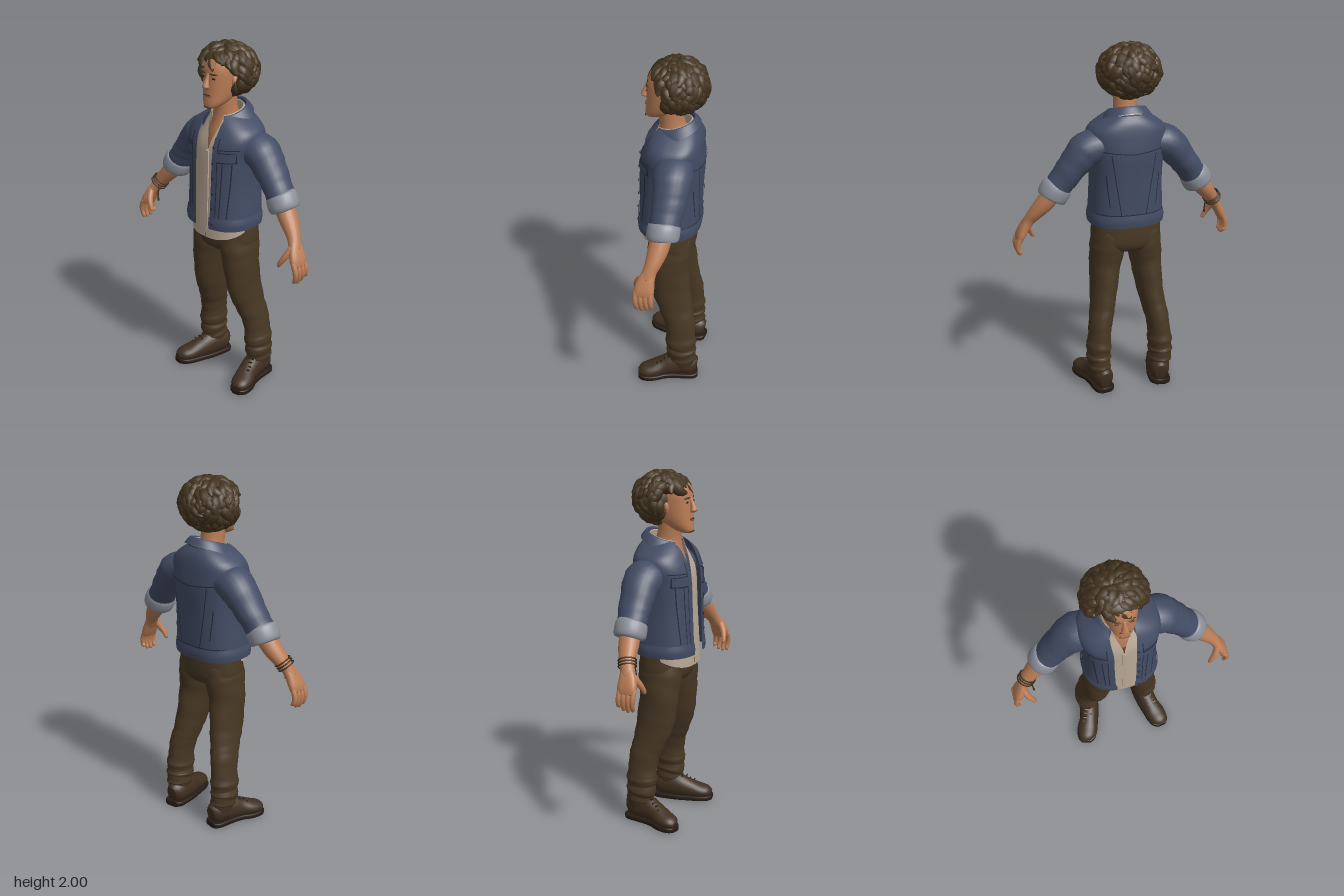
import * as THREE from 'three';

const paint = (name, color, side = THREE.FrontSide) => {
  const m = new THREE.MeshStandardMaterial({ color, side });
  m.name = name;
  return m;
};
const Y = new THREE.Vector3(0, 1, 0), Z = new THREE.Vector3(0, 0, 1);

// Smooth cubic through b and c
const cubic = (a, b, c, d, t) => {
  const k3 = 3 * (b - c) + d - a, k2 = 2 * a - 5 * b + 4 * c - d;
  return b + 0.5 * t * (c - a + t * (k2 + t * k3));
};

// Smoothly refine cross-sections [x, y, z, halfWidth, halfDepth, tilt, frontGap]
function sample(secs, per) {
  const s = secs.map(q => [...q, 0, 0].slice(0, 7)), out = [];
  for (let i = 0; i < s.length - 1; i++) {
    const a = s[Math.max(i - 1, 0)], b = s[i], c = s[i + 1], d = s[Math.min(i + 2, s.length - 1)];
    for (let k = 0; k < per; k++) out.push(b.map((v, j) => cubic(a[j], v, c[j], d[j], k / per)));
  }
  out.push(s[s.length - 1]);
  return out;
}

// Skin a surface over superellipse rings; flat keeps rings level, a front gap leaves it open
function loft(secs, { seg = 20, n = 2, per = 4, hint = Z, flat = false, fold = 0, floor = -1 } = {}) {
  const S = sample(secs, per), open = S.some(q => q[6] > 0), cols = open ? seg + 1 : seg;
  const pos = [], idx = [], p = S.map(q => new THREE.Vector3(q[0], q[1], q[2]));
  const pw = v => Math.sign(v) * Math.pow(Math.abs(v), 2 / n);
  S.forEach((q, i) => {
    const T = flat ? Y.clone() : p[Math.min(i + 1, p.length - 1)].clone().sub(p[Math.max(i - 1, 0)]).normalize();
    const v = hint.clone().addScaledVector(T, -hint.dot(T)).normalize(), u = T.clone().cross(v);
    const g = open ? Math.asin(Math.pow(Math.min(1, Math.max(0, q[6]) / q[3]), n / 2)) : 0;
    for (let j = 0; j < cols; j++) {
      const th = Math.PI / 2 + g + (2 * Math.PI - 2 * g) * j / seg;
      const w = 1 + fold * Math.sin(i * 1.9 + 2 * Math.sin(th + i * 0.4));
      const e = p[i].clone().addScaledVector(u, q[3] * w * pw(Math.cos(th))).addScaledVector(v, q[4] * w * pw(Math.sin(th)));
      pos.push(e.x, Math.max(floor, e.y + q[5] * (e.z - q[2])), e.z);
    }
  });
  for (let i = 0; i < S.length - 1; i++) for (let j = 0; j < seg; j++) {
    const a = i * cols + j, b = i * cols + (j + 1) % cols;
    idx.push(a, a + cols, b, b, a + cols, b + cols);
  }
  if (!open) for (const [row, flip] of [[0, false], [S.length - 1, true]]) {
    const c = pos.length / 3;
    pos.push(p[row].x, Math.max(floor, p[row].y), p[row].z);
    for (let j = 0; j < seg; j++) {
      const a = row * cols + j, b = row * cols + (j + 1) % cols;
      idx.push(c, ...(flip ? [b, a] : [a, b]));
    }
  }
  // Caps wind opposite to each other so both face outward
  const geo = new THREE.BufferGeometry();
  geo.setAttribute('position', new THREE.Float32BufferAttribute(pos, 3));
  geo.setIndex(idx);
  geo.computeVertexNormals();
  return geo;
}

// Depth of a level-ringed body at (x, y); side 1 is the front, -1 the back
function depth(rows, n, x, y, side) {
  let i = 0;
  while (i < rows.length - 2 && rows[i + 1][1] < y) i++;
  const A = rows[i], B = rows[i + 1], t = THREE.MathUtils.clamp((y - A[1]) / (B[1] - A[1]), 0, 1);
  const [, , z, a, b] = A.map((v, k) => v + (B[k] - v) * t);
  return z + side * b * Math.pow(Math.max(0, 1 - Math.pow(Math.abs(x) / a, n)), 1 / n);
}

export function createModel() {
  const model = new THREE.Group();
  const D = THREE.DoubleSide;
  const skin = paint('skin', 0xb97c55), hairMat = paint('hair brown', 0x44341f), denim = paint('denim', 0x434c64, D);
  const seamMat = paint('dark seam', 0x252a3a, D), cuffMat = paint('cuff grey', 0x8b8f99), linen = paint('linen', 0xb9a896, D);
  const cloth = paint('trouser brown', 0x483824), leather = paint('boot leather', 0x3f2f20), dark = paint('dark brown', 0x251b14), lip = paint('lip', 0x8d533c);
  const add = (name, geo, mat, parent = model) => {
    const m = new THREE.Mesh(geo, mat);
    m.name = name;
    parent.add(m);
    return m;
  };
  const ball = (name, mat, at, r) => {
    const m = add(name, new THREE.SphereGeometry(1, 20, 14), mat);
    m.position.set(...at);
    m.scale.set(...r);
    return m;
  };

  // Jacket body, open at the front
  const jacket = [
    [0, 1.0, .016, .208, .172, 0, .055], [0, 1.1, .012, .205, .172, 0, .058], [0, 1.25, .007, .2, .172, 0, .06],
    [0, 1.4, 0, .208, .174, 0, .06], [0, 1.48, -.003, .222, .166, 0, .062], [0, 1.54, -.012, .212, .15, 0, .068],
    [0, 1.585, -.018, .158, .132, 0, .07], [0, 1.62, -.022, .1, .105, 0, .068]];
  const rows = sample(jacket, 4);
  add('jacketBody', loft(jacket, { seg: 48, n: 2.5, flat: true }), denim);
  add('jacketWaistband', loft([[0, .995, .016, .212, .176, 0, .05], [0, 1.03, .015, .215, .179, 0, .05], [0, 1.065, .014, .208, .175, 0, .05]], { seg: 48, n: 2.5, flat: true }), denim);
  add('jacketCollar', loft([[0, 1.58, -.02, .1, .1, -.3, .06], [0, 1.635, -.015, .092, .095, -.3, .05],
    [0, 1.638, -.015, .105, .108, -.32, .055], [0, 1.585, -.012, .142, .137, -.4, .075]], { seg: 36, flat: true, per: 3 }), denim);

  // Plates that hug the jacket: corners run bottom left, bottom right, top right, top left
  const patch = (name, c, mat, side = 1, lift = .005) => {
    const geo = new THREE.PlaneGeometry(1, 1, 6, 10), P = geo.attributes.position;
    for (let i = 0; i < P.count; i++) {
      const u = P.getX(i) + .5, v = P.getY(i) + .5;
      const mix = k => (c[0][k] * (1 - u) + c[1][k] * u) * (1 - v) + (c[3][k] * (1 - u) + c[2][k] * u) * v;
      P.setXYZ(i, mix(0), mix(1), depth(rows, 2.5, mix(0), mix(1), side) + side * lift);
    }
    geo.computeVertexNormals();
    add(name, geo, mat);
  };
  const line = (name, x0, y0, x1, y1, side = 1) => {
    const l = Math.hypot(x1 - x0, y1 - y0) / .0025, dx = (y1 - y0) / l, dy = (x0 - x1) / l;
    patch(name, [[x0 - dx, y0 - dy], [x0 + dx, y0 + dy], [x1 + dx, y1 + dy], [x1 - dx, y1 - dy]], seamMat, side);
  };
  for (const s of [1, -1]) {
    patch('buttonPlacket', [[s * .056, 1.01], [s * .088, 1.01], [s * .095, 1.52], [s * .066, 1.52]], denim);
    line('placketSeam', s * .09, 1.07, s * .097, 1.52);
    patch('pocketFlapShadow', [[s * .092, 1.385], [s * .185, 1.39], [s * .186, 1.448], [s * .09, 1.448]], seamMat, 1, .004);
    patch('pocketFlap', [[s * .095, 1.395], [s * .182, 1.397], [s * .185, 1.445], [s * .093, 1.445]], denim, 1, .008);
    line('frontSeam', s * .112, 1.07, s * .125, 1.385);
    line('outerFrontSeam', s * .15, 1.07, s * .168, 1.385);
    line('frontYokeSeam', s * .1, 1.46, s * .2, 1.465);
    line('backYokeSeam', 0, 1.42, s * .2, 1.44, -1);
    line('backSeam', s * .07, 1.07, s * .125, 1.42, -1);
    line('backFold', s * .13, 1.12, s * .15, 1.3, -1);
  }
  line('waistbandSeam', -.19, 1.07, .19, 1.07, -1);
  for (let i = 0; i < 6; i++) {
    const y = 1.03 + i * .088;
    ball('jacketButton', seamMat, [.072, y, depth(rows, 2.5, .072, y, 1) + .007], [.008, .008, .004]);
  }

  // Shirt with a shaped hem and an open neck
  add('shirt', loft([[0, .985, .012, .19, .155, -.4, .001], [0, 1.06, .01, .188, .152, -.2, .001], [0, 1.25, 0, .182, .15, 0, .001],
    [0, 1.4, -.004, .18, .148, 0, .002], [0, 1.47, -.006, .17, .138, 0, .008], [0, 1.54, -.012, .13, .118, 0, .032], [0, 1.6, -.015, .092, .095, 0, .048]], { seg: 40, n: 2.4, flat: true }), linen);
  add('shirtCollar', loft([[0, 1.58, -.01, .09, .1, -.2, .045], [0, 1.632, -.008, .08, .088, -.25, .045],
    [0, 1.632, -.008, .087, .096, -.25, .048], [0, 1.58, -.004, .1, .118, -.4, .042]], { seg: 30, flat: true, per: 3 }), linen);
  const placket = add('shirtPlacket', new THREE.BoxGeometry(.026, .46, .008), linen);
  placket.position.set(0, 1.2, .156);
  placket.rotation.x = -.035;

  // Chest, neck and head
  add('neck', loft([[0, 1.42, -.01, .12, .12], [0, 1.5, -.01, .105, .112], [0, 1.57, -.01, .08, .092], [0, 1.63, .005, .066, .07],
    [0, 1.7, .015, .064, .068], [0, 1.76, .02, .064, .07]], { seg: 24, flat: true }), skin);
  const head = [[0, 1.664, .108, .02, .028], [0, 1.675, .102, .042, .046], [0, 1.7, .07, .063, .079], [0, 1.735, .045, .077, .1], [0, 1.78, .025, .086, .117],
    [0, 1.83, .015, .091, .125], [0, 1.88, .012, .091, .125], [0, 1.93, .005, .08, .11], [0, 1.965, 0, .05, .07]];
  add('head', loft(head, { seg: 32, n: 2.3, flat: true }), skin);
  const face = sample(head, 4), fz = (x, y) => depth(face, 2.3, x, y, 1);
  add('nose', loft([[0, 1.776, .146, .014, .012], [0, 1.787, .154, .022, .019], [0, 1.8, .153, .017, .018], [0, 1.83, .143, .011, .012], [0, 1.86, .132, .01, .008]], { seg: 12, flat: true, per: 3 }), skin);
  ball('upperLip', lip, [0, 1.745, fz(0, 1.745)], [.028, .005, .005]);
  ball('lowerLip', lip, [0, 1.735, fz(0, 1.735)], [.022, .005, .006]);
  ball('mouthLine', dark, [0, 1.74, fz(0, 1.74) + .002], [.03, .0018, .003]);
  ball('chinStubble', hairMat, [0, 1.673, fz(0, 1.673) - .002], [.03, .005, .006]);
  for (const s of [1, -1]) {
    ball('eye', dark, [s * .036, 1.833, fz(.036, 1.833)], [.016, .005, .003]);
    const brow = ball('eyebrow', hairMat, [s * .038, 1.856, fz(.038, 1.856)], [.023, .005, .005]);
    brow.rotation.set(0, s * .4, s * -.06);
    ball('ear', skin, [s * .094, 1.805, .028], [.014, .036, .022]);
  }

  // Curly hair: two soft masses covered with tapered locks
  ball('hairBack', hairMat, [-.014, 1.84, -.052], [.137, .118, .115]);
  ball('hairCrown', hairMat, [-.012, 1.918, -.005], [.128, .058, .125]);
  let seed = 7;
  const rnd = () => (seed = (seed * 16807) % 2147483647) / 2147483647;
  const C = new THREE.Vector3(-.015, 1.845, -.022), R = new THREE.Vector3(.148, .121, .138), crown = new THREE.Vector3(-.015, 2, -.01);
  const hair = new THREE.Group();
  hair.name = 'hairLocks';
  model.add(hair);
  for (let i = 0; i < 190; i++) {
    const h = 1 - 2 * (i + .5) / 190, r = Math.sqrt(1 - h * h), f = i * 2.39996;
    const unit = new THREE.Vector3(r * Math.cos(f), h, r * Math.sin(f)), P = unit.clone().multiply(R).add(C);
    if ((P.z > .025 && P.y < 1.895) || (P.y < 1.755 && P.z > -.035)) continue;
    const N = unit.clone().divide(R).normalize(), d = P.clone().sub(crown);
    d.addScaledVector(N, -d.dot(N)).normalize().applyAxisAngle(N, (rnd() - .5) * 1.5);
    const s = N.clone().cross(d), curl = rnd() < .5 ? -1 : 1, k = .8 + rnd() * .35;
    const at = (a, b, c, w) => [...P.clone().addScaledVector(d, a * k).addScaledVector(N, b).addScaledVector(s, c * curl).toArray(), w * k, w * k];
    add('lock', loft([at(-.045, -.01, 0, .01), at(-.012, .006, .006, .026), at(.025, .006, .016, .024), at(.048, .014, .036, .006)], { seg: 8, per: 3, hint: N }), hairMat, hair);
  }

  // Trousers seat
  add('trouserSeat', loft([[0, .825, 0, .07, .07], [0, .84, 0, .15, .11], [0, .88, 0, .195, .132], [0, .95, 0, .197, .135], [0, 1.04, 0, .188, .132]], { seg: 32, n: 2.4, flat: true }), cloth);

  for (const s of [1, -1]) {
    const side = new THREE.Group();
    side.name = s > 0 ? 'leftLimbs' : 'rightLimbs';
    model.add(side);
    const limb = (name, secs, mat, opt) => add(name, loft(secs.map(([x, ...q]) => [s * x, ...q]), opt), mat, side);

    // Arm with rolled sleeve
    limb('sleeve', [[.13, 1.455, -.028, .08, .1], [.225, 1.435, -.035, .097, .108], [.3, 1.355, -.032, .083, .096], [.36, 1.275, -.024, .075, .086], [.405, 1.21, -.016, .074, .08]], denim, { seg: 24, fold: .025 });
    limb('sleeveCuff', [[.388, 1.244, -.018, .072, .074], [.394, 1.234, -.018, .083, .086], [.412, 1.2, -.015, .087, .089], [.427, 1.172, -.012, .082, .085], [.43, 1.166, -.012, .068, .07], [.431, 1.164, -.012, .052, .052]], cuffMat, { seg: 24, per: 2 });
    limb('forearm', [[.4, 1.22, -.015, .055, .055], [.46, 1.14, 0, .05, .056], [.51, 1.08, .018, .04, .046], [.54, 1.04, .034, .032, .038], [.565, .995, .048, .028, .044]], skin);
    limb('palm', [[.545, 1.035, .036, .026, .034], [.57, .99, .05, .026, .048], [.592, .945, .058, .024, .055], [.602, .915, .06, .018, .05]], skin, { n: 2.5 });
    for (let i = 0; i < 4; i++) {
      const z = .02 + i * .027, t = [.022, .006, 0, .008][i];
      limb('finger', [[.594, .945, z, .014, .014], [.612, .9, z, .015, .015], [.612, .862, z - .002, .013, .013], [.602, .83 + t, z - .004, .011, .011], [.599, .82 + t, z - .004, .005, .005]], skin, { seg: 10, per: 3 });
    }
    limb('thumb', [[.558, 1.01, .07, .018, .02], [.542, .97, .097, .018, .019], [.522, .935, .112, .015, .015], [.508, .908, .116, .011, .011], [.505, .9, .116, .005, .005]], skin, { seg: 12, per: 3 });

    // Trouser leg with folds gathered at the ankle
    limb('trouserLeg', [[.1, .96, 0, .088, .12], [.105, .86, .003, .099, .125], [.12, .75, .005, .09, .114], [.135, .6, -.012, .076, .112], [.153, .48, -.042, .069, .096],
      [.17, .4, -.064, .066, .089], [.18, .31, -.073, .064, .085], [.184, .26, -.075, .072, .091], [.185, .225, -.077, .064, .083], [.186, .195, -.078, .071, .089], [.185, .165, -.083, .062, .08], [.184, .135, -.086, .066, .081]], cloth, { seg: 28, fold: .02 });

    // Boot
    limb('bootShaft', [[.178, .06, -.085, .056, .076], [.18, .12, -.085, .058, .076], [.183, .18, -.082, .055, .07]], leather);
    limb('bootUpper', [[.166, .075, -.167, .032, .045], [.17, .08, -.13, .056, .066], [.182, .08, -.04, .058, .076], [.2, .067, .03, .055, .058],
      [.224, .054, .09, .06, .044], [.24, .047, .14, .05, .034], [.246, .04, .166, .024, .016]], leather, { seg: 24, hint: Y, floor: .025 });
    limb('bootSole', [[.165, .016, -.172, .036, .016], [.17, .016, -.14, .06, .016], [.182, .016, -.04, .06, .016], [.2, .016, .03, .058, .016],
      [.224, .016, .09, .064, .016], [.241, .016, .145, .053, .016], [.247, .016, .171, .026, .014]], dark, { seg: 24, n: 5, hint: Y, floor: 0 });
    for (let i = 0; i < 4; i++) {
      const lace = add('bootLace', new THREE.BoxGeometry(.05, .006, .008), dark, side);
      lace.position.set(s * (.193 + i * .009), .143 - i * .013, i * .021);
      lace.rotation.set(.55, s * .3, (i % 2 ? 1 : -1) * .15);
    }
  }

  // Cord bracelets on the right wrist
  for (let i = 0; i < 3; i++) {
    const b = add('bracelet', new THREE.TorusGeometry(.047, .004, 6, 24), leather), x = -.518 - i * .009, y = 1.074 - i * .013, z = .022 + i * .005;
    b.position.set(x, y, z);
    b.lookAt(x - .5, y - .75, z + .3);
  }
  add('braceletCord', loft([[-.505, 1.045, .06, .004, .004], [-.503, 1.0, .066, .004, .004], [-.5, .955, .068, .006, .006]], { seg: 6 }), leather);
  return model;
}
